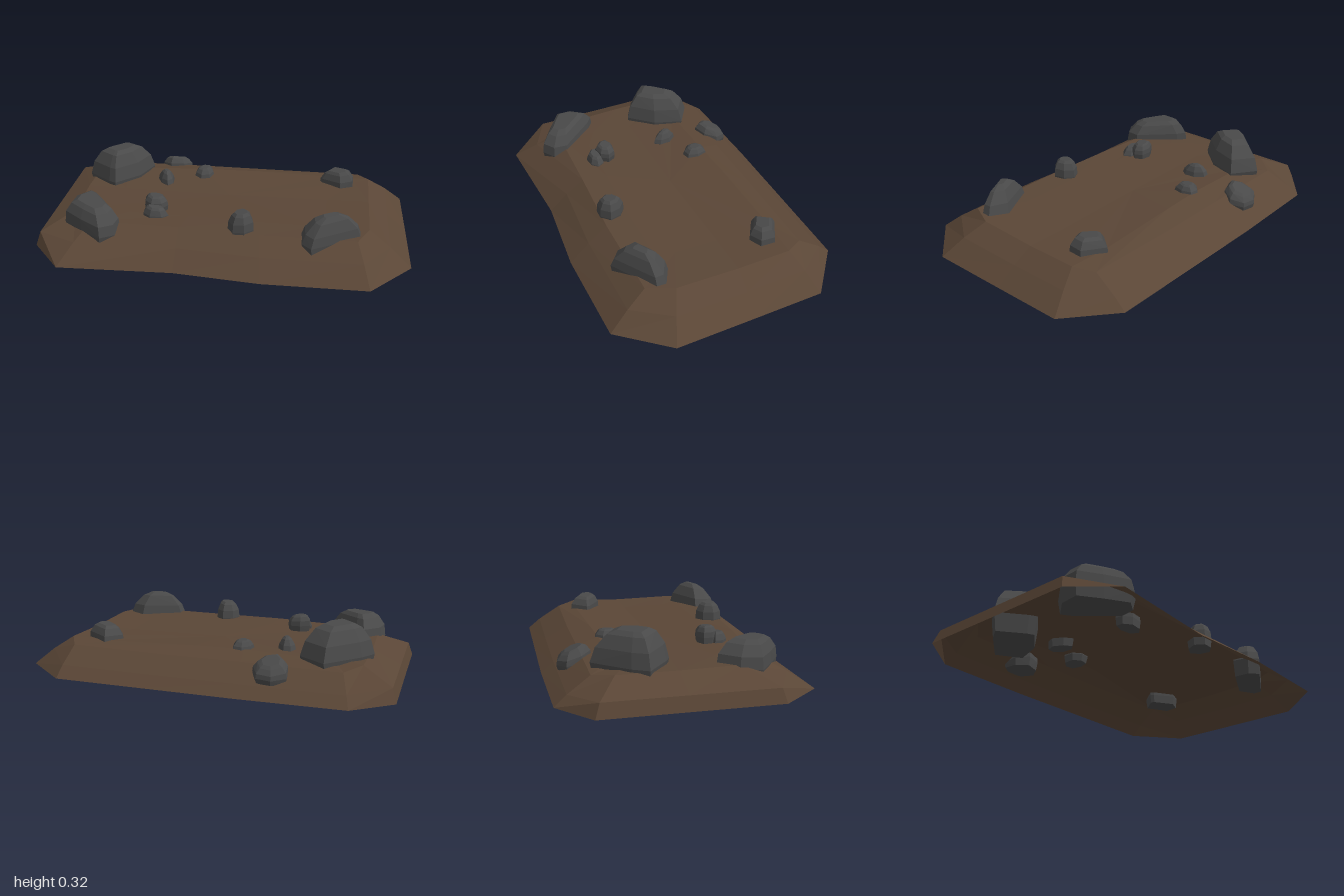
import * as THREE from 'three';
import { ConvexGeometry } from 'three/addons/geometries/ConvexGeometry.js';

const soil = new THREE.MeshStandardMaterial({ color: 0x5a4636, flatShading: true, side: THREE.DoubleSide });
soil.name = 'brown soil';
const stone = new THREE.MeshStandardMaterial({ color: 0x494949, flatShading: true });
stone.name = 'grey stone';

// Mound rim, each row: foot x z, crest x y z, inner x y z, clockwise from the back corner
const RIM = [
  [-0.80, -0.64, -0.74, 0.125, -0.46, -0.60, 0.148, -0.34],
  [-0.25, -0.65, -0.22, 0.13, -0.46, -0.20, 0.162, -0.34],
  [0.25, -0.645, 0.20, 0.13, -0.46, 0.06, 0.162, -0.35],
  [0.73, -0.64, 0.72, 0.135, -0.45, 0.55, 0.15, -0.36],
  [0.98, -0.43, 0.78, 0.153, -0.35, 0.70, 0.15, -0.30],
  [0.99, -0.05, 0.78, 0.146, -0.06, 0.55, 0.142, -0.06],
  [1.00, 0.38, 0.78, 0.153, 0.28, 0.55, 0.148, 0.18],
  [0.79, 0.63, 0.72, 0.154, 0.42, 0.50, 0.152, 0.28],
  [0.25, 0.64, 0.22, 0.152, 0.42, 0.15, 0.153, 0.28],
  [-0.20, 0.60, -0.20, 0.156, 0.40, -0.18, 0.153, 0.26],
  [-0.80, 0.63, -0.68, 0.146, 0.38, -0.50, 0.15, 0.25],
  [-0.98, 0.42, -0.80, 0.146, 0.26, -0.62, 0.148, 0.18],
  [-0.99, -0.05, -0.82, 0.144, -0.06, -0.60, 0.144, -0.05],
  [-1.00, -0.48, -0.82, 0.142, -0.36, -0.64, 0.148, -0.26],
];

// Open-bottomed mound lofted from foot, bank, crest and inner rings
function makeMound() {
  const foot = RIM.map(([x, z]) => [x, 0, z]);
  const bank = RIM.map(([x, z, cx, cy, cz]) => {
    if (x < -0.9) return [x * 0.978, 0.072, z * 0.95];
    const t = z < -0.6 ? 0.35 : 0.5;
    return [x + (cx - x) * t, cy * (t + 0.06), z + (cz - z) * t];
  });
  const crest = RIM.map((r) => r.slice(2, 5));
  const inner = RIM.map((r) => r.slice(5));
  const rings = [foot, bank, crest, inner];
  const pos = [];
  const n = RIM.length;
  for (let i = 0; i < n; i++) {
    const j = (i + 1) % n;
    for (let k = 0; k < rings.length - 1; k++) {
      const a = rings[k][i], b = rings[k][j], c = rings[k + 1][i], d = rings[k + 1][j];
      // The steep left front corner is split along the other diagonal
      if (i === 10) pos.push(...a, ...c, ...d, ...a, ...d, ...b);
      else pos.push(...a, ...c, ...b, ...b, ...c, ...d);
    }
    pos.push(...inner[i], 0, 0.143, -0.05, ...inner[j]);
  }
  const geo = new THREE.BufferGeometry();
  geo.setAttribute('position', new THREE.Float32BufferAttribute(pos, 3));
  geo.computeVertexNormals();
  const mesh = new THREE.Mesh(geo, soil);
  mesh.name = 'soilMound';
  return mesh;
}

// Rock shapes as [height fraction, outline scale] levels
const DOME = [[0, 0.88], [0.42, 1], [0.7, 0.88], [0.93, 0.62], [1, 0.4]];
const PEAK = [[0, 0.93], [0.42, 1], [0.65, 0.88], [0.9, 0.55], [1, 0.25]];
const BLOCK = [[0, 0.93], [0.35, 1], [0.65, 0.95], [0.9, 0.72], [1, 0.5]];

// Chiselled rock: hull of a plan outline repeated at each level, its upper part tilted in x and z
function makeRock(name, outline, bottom, top, levels, slopeX = 0, slopeZ = 0) {
  const n = outline.length;
  const cx = outline.reduce((s, p) => s + p[0], 0) / n;
  const cz = outline.reduce((s, p) => s + p[1], 0) / n;
  const points = [];
  for (const [t, s] of levels) {
    for (const [x, z] of outline) {
      const dx = (x - cx) * s, dz = (z - cz) * s;
      points.push(new THREE.Vector3(cx + dx, bottom + (top - bottom) * t + (dx * slopeX + dz * slopeZ) * t, cz + dz));
    }
  }
  const mesh = new THREE.Mesh(new ConvexGeometry(points), stone);
  mesh.name = name;
  return mesh;
}

// Slightly uneven oval outline for the small stones
function oval(cx, cz, rx, rz, turn, sides = 7) {
  return Array.from({ length: sides }, (_, i) => {
    const a = (i / sides) * Math.PI * 2;
    const w = 1 + 0.06 * Math.sin(i * 2.7 + cx * 9);
    const u = Math.cos(a) * rx * w, v = Math.sin(a) * rz * w;
    return [cx + u * Math.cos(turn) - v * Math.sin(turn), cz + u * Math.sin(turn) + v * Math.cos(turn)];
  });
}

export function createModel() {
  const group = new THREE.Group();
  group.name = 'rockyMound';
  group.add(makeMound());

  // Large boulders
  group.add(
    makeRock('backBoulder', [[-0.85, -0.2], [-0.8, -0.28], [-0.64, -0.45], [-0.5, -0.36], [-0.55, -0.2],
      [-0.67, -0.07], [-0.71, -0.09]], 0.045, 0.318, DOME, 0.03, 0.05),
    makeRock('frontBoulder', [[-0.83, 0.35], [-0.82, 0.24], [-0.74, 0.145], [-0.69, 0.18], [-0.52, 0.38],
      [-0.53, 0.46], [-0.6, 0.505], [-0.72, 0.43]], 0.05, 0.25, BLOCK, -0.03, -0.06),
    makeRock('frontRightBoulder', [[0.43, 0.37], [0.64, 0.26], [0.735, 0.31], [0.735, 0.36], [0.49, 0.505],
      [0.44, 0.46]], 0.05, 0.275, PEAK, 0, -0.12),
    makeRock('backRightBoulder', [[0.5, -0.3], [0.57, -0.39], [0.695, -0.32], [0.69, -0.24], [0.62, -0.21],
      [0.51, -0.28]], 0.085, 0.225, BLOCK, 0.1, 0),
  );

  // Small stones: centre x z, radii x z, turn, bottom, top, shape, slope x z
  const stones = [
    [-0.39, -0.5, 0.095, 0.09, 0, 0.06, 0.165, BLOCK, 0, 0.42],
    [-0.39, -0.19, 0.045, 0.075, -0.4, 0.1, 0.21, PEAK, 0, 0],
    [-0.18, -0.29, 0.06, 0.073, 0, 0.11, 0.2, DOME, 0, 0],
    [-0.365, 0.2, 0.066, 0.055, 0, 0.15, 0.237, BLOCK, -0.1, 0],
    [-0.355, 0.265, 0.076, 0.048, 0.1, 0.085, 0.2, BLOCK, -0.1, 0],
    [0.12, 0.36, 0.068, 0.072, 0.3, 0.11, 0.25, BLOCK, 0.08, 0],
  ];
  stones.forEach(([x, z, rx, rz, turn, ...shape], i) => {
    group.add(makeRock(`smallStone${i + 1}`, oval(x, z, rx, rz, turn), ...shape));
  });
  return group;
}
